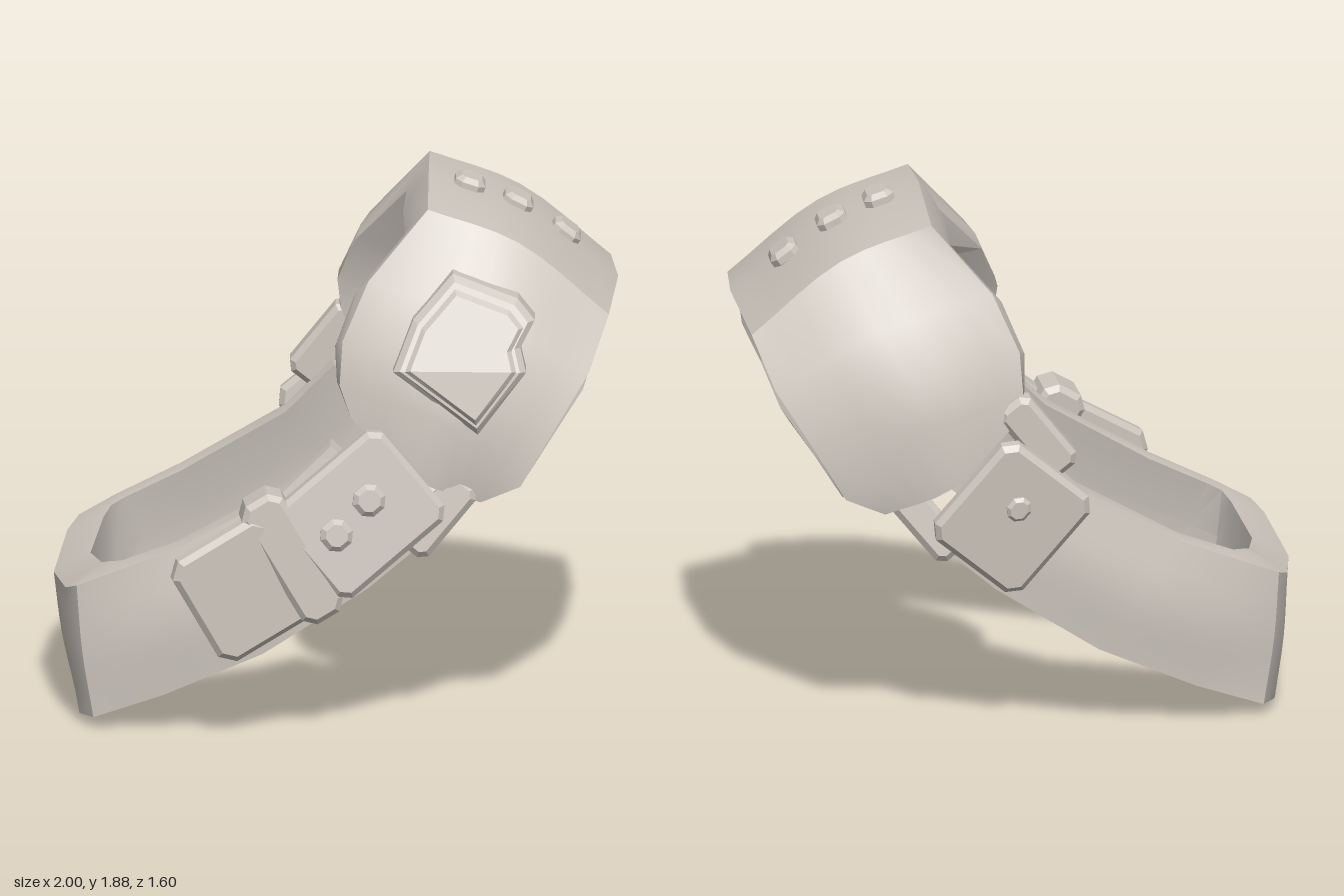
import * as THREE from 'three';
import { toCreasedNormals } from 'three/addons/utils/BufferGeometryUtils.js';

const V = (p) => new THREE.Vector3(...p);

// Skin a row of closed cross-sections and cap both ends
function loft(rings, crease) {
  const n = rings[0].length, last = (rings.length - 1) * n, index = [];
  for (let i = 0; i < last; i += n) {
    for (let j = 0; j < n; j++) {
      const a = i + j, b = i + (j + 1) % n;
      index.push(a, b, a + n, b, b + n, a + n);
    }
  }
  // Each cap joins the outer row to the inner row
  for (let lo = 0; lo < n / 2 - 1; lo++) {
    const hi = n - 1 - lo;
    for (const [a, b, c] of [[lo, hi, lo + 1], [lo + 1, hi, hi - 1]]) {
      index.push(a, b, c, last + a, last + c, last + b);
    }
  }
  const g = new THREE.BufferGeometry().setFromPoints(rings.flat());
  g.setIndex(index);
  return toCreasedNormals(g, crease);
}

// Band section: curved outside from edge A over M to edge B, stepped rim, then inside
function section([A, M, B], dA, dB, lip) {
  const out = new THREE.CatmullRomCurve3([A, M, B]).getPoints(8);
  const across = B.clone().sub(A).normalize();
  const rim = (edge, d, f, push) => edge.clone().addScaledVector(d, f).addScaledVector(across, push);
  const inside = [5, 3].map((i) => out[i].clone().add(dA.clone().lerp(dB, i / 8)));
  return [...out, rim(B, dB, 0.35, -lip), rim(B, dB, 0.5, lip * 0.3), rim(B, dB, 1, 0),
    ...inside, rim(A, dA, 1, 0), rim(A, dA, 0.5, -lip * 0.3)];
}

// Chamfered plate: length along u, facing n, centred on c
function plateGeometry(c, u, n, [l, w, t], cut) {
  const x = l / 2, y = w / 2, bev = Math.min(t * 0.3, 0.02);
  const corners = [];
  for (const [sx, sy] of [[1, -1], [1, 1], [-1, 1], [-1, -1]]) {
    const pair = [new THREE.Vector2(sx * (x - cut), sy * y), new THREE.Vector2(sx * x, sy * (y - cut))];
    corners.push(...(sx * sy < 0 ? pair : pair.reverse()));
  }
  const g = new THREE.ExtrudeGeometry(new THREE.Shape(corners), {
    depth: t - 2 * bev, bevelThickness: bev, bevelSize: bev, bevelOffset: -bev, bevelSegments: 1,
  });
  g.translate(0, 0, -t / 2 + bev);
  const N = V(n).normalize(), U = V(u);
  U.addScaledVector(N, -U.dot(N)).normalize();
  return g.applyMatrix4(new THREE.Matrix4().makeBasis(U, N.clone().cross(U), N).setPosition(V(c)));
}

export function createModel() {
  const group = new THREE.Group();
  const stone = new THREE.MeshStandardMaterial({ color: 0xcdc6be });
  stone.name = 'warm grey';
  const add = (name, geometry) => {
    const mesh = new THREE.Mesh(geometry, stone);
    mesh.name = name;
    group.add(mesh);
  };
  const plate = (name, ...args) => add(name, plateGeometry(...args));

  // Armoured shell: front flap stations up to the crown fold, z measured from mid-plane
  const flap = [
    [[0.06, 1.14, 0.58], [0.29, 0.94, 0.68], [0.52, 0.85, 0.65]],
    [[0.02, 1.25, 0.55], [0.35, 1.17, 0.69], [0.66, 0.91, 0.66]],
    [[0.03, 1.40, 0.51], [0.42, 1.32, 0.66], [0.77, 1.09, 0.62]],
    [[0.12, 1.60, 0.44], [0.53, 1.50, 0.56], [0.90, 1.29, 0.53]],
    [[0.33, 1.84, 0.35], [0.65, 1.72, 0.35], [0.97, 1.46, 0.36]],
  ];
  const crown = [[0.33, 1.88, 0], [0.66, 1.755, 0], [1.0, 1.5, 0]];
  const overhead = [0, 0.05, 0.3, 0.6, 0.9];
  // Inward thickness turns from sideways on the flaps to downward at the crown
  const shellRing = (points, k, side) => {
    const pts = points.map(([x, y, h]) => new THREE.Vector3(x, y, -0.08 + (side < 0 ? -(0.14 + 0.78 * h) : h * side)));
    const dA = new THREE.Vector3(-0.09 * k, -0.14 * k, (0.03 * k - 0.1) * side);
    const dB = new THREE.Vector3(-0.1 * k, -0.24 * k, (0.08 * k - 0.16) * side);
    return section(pts, dA, dB, 0.03);
  };
  add('shoulderShell', loft([
    ...flap.map((p, i) => shellRing(p, overhead[i], 1)),
    shellRing(crown, 1, 0),
    ...flap.map((p, i) => shellRing(p, overhead[i], -1)).reverse(),
  ], 0.55));

  // Strap: upper and lower edge stations of the front half, mirrored to the back
  const half = [
    [[-0.01, 1.05, 0.55], [0.36, 0.74, 0.58]],
    [[-0.18, 0.88, 0.55], [0.12, 0.54, 0.60]],
    [[-0.55, 0.67, 0.54], [-0.25, 0.30, 0.60]],
    [[-0.78, 0.57, 0.50], [-0.60, 0.14, 0.57]],
    [[-0.91, 0.51, 0.46], [-0.85, 0.04, 0.51]],
    [[-0.95, 0.48, 0.38], [-0.90, 0.03, 0.42]],
    [[-0.995, 0.43, 0], [-0.92, 0, 0]],
  ];
  const strapRing = ([a, b], side) => {
    const mid = V(a).add(V(b)).multiplyScalar(0.5);
    if (a[0] > -0.9) mid.z += 0.03;
    else mid.x -= 0.01;
    const pts = [V(a), mid, V(b)];
    pts.forEach((p) => { p.z *= side; });
    const turn = THREE.MathUtils.smoothstep(-a[0], 0.7, 0.97);
    const inward = new THREE.Vector3(0.13 * turn, 0.07 * turn, -0.1 * side * Math.min(1, a[2] / 0.46));
    return section(pts, inward, inward, 0.015);
  };
  add('strap', loft([
    ...half.slice(0, -1).map((h, i) => strapRing(h, 0.03 * i - 1.12)),
    ...half.map((h) => strapRing(h, 1)).reverse(),
  ], 0.5));

  // Front fastening: panel with studs, keeper loop and loose strap tail
  const u = [0.77, 0.64, 0], frontN = [0.12, 0.15, 1];
  plate('frontPanel', [0.09, 0.83, 0.65], u, frontN, [0.5, 0.42, 0.1], 0.04);
  plate('lowerStud', [0.01, 0.77, 0.715], u, frontN, [0.11, 0.11, 0.06], 0.03);
  plate('upperStud', [0.125, 0.89, 0.685], u, frontN, [0.11, 0.11, 0.06], 0.03);
  plate('keeperLoop', [-0.15, 0.68, 0.655], [0.86, 0.51, 0], [0.08, 0.05, 1], [0.17, 0.5, 0.18], 0.04);
  plate('strapTail', [-0.32, 0.575, 0.715], [0.86, 0.48, 0], [0.18, 0, 1], [0.4, 0.43, 0.09], 0.05);

  // Back fastening: plate with one stud and a bracket above it
  const backN = [0, -0.08, -1];
  plate('backPanel', [0.07, 0.83, -0.73], u, backN, [0.41, 0.46, 0.08], 0.045);
  plate('backStud', [0.05, 0.87, -0.775], u, backN, [0.08, 0.09, 0.04], 0.025);
  plate('backBracket', [-0.03, 1.1, -0.635], [0.62, 0.78, 0], [0, 0, -1], [0.32, 0.14, 0.11], 0.03);

  // Clips below the shell on both sides
  for (const [name, z, side] of [['frontClip', 0.565, 1], ['backClip', -0.645, -1]]) {
    plate(name, [0.37, 0.8, z], [0.64, 0.77, -0.08 * side], [0, 0.15, side], [0.32, 0.13, 0.09], 0.03);
  }

  // Row of crown buttons
  [[0.475, 1.835, 0.33], [0.645, 1.765, 0.5], [0.815, 1.65, 0.75]].forEach(([x, y, lean], i) => {
    plate(`crownButton${i + 1}`, [x, y, -0.1 - 0.015 * i], [0, 0, 1], [lean, 1, 0], [0.135, 0.11, 0.06], 0.025);
  });

  // Raised two-step badge, sheared to follow the front flap
  const outline = [[0.21, 1.33], [0.51, 1.11], [0.68, 1.33], [0.66, 1.41], [0.71, 1.5], [0.65, 1.57], [0.42, 1.65], [0.28, 1.5]];
  const badge = (name, scale, lift) => {
    const centre = new THREE.Vector2(0.47, 1.36);
    const shape = new THREE.Shape(outline.map((p) => new THREE.Vector2(...p).sub(centre).multiplyScalar(scale).add(centre)));
    const g = new THREE.ExtrudeGeometry(shape, {
      depth: 0.1, bevelThickness: 0.02, bevelSize: 0.02, bevelOffset: -0.02, bevelSegments: 1,
    });
    const p = g.attributes.position;
    for (let i = 0; i < p.count; i++) {
      p.setZ(i, p.getZ(i) - 0.12 + lift + Math.min(0.63, 0.6 - 0.48 * (p.getY(i) - 1.33)));
    }
    g.computeVertexNormals();
    add(name, g);
  };
  badge('badgeBase', 1, 0);
  badge('badgeFace', 0.86, 0.015);

  return group;
}
